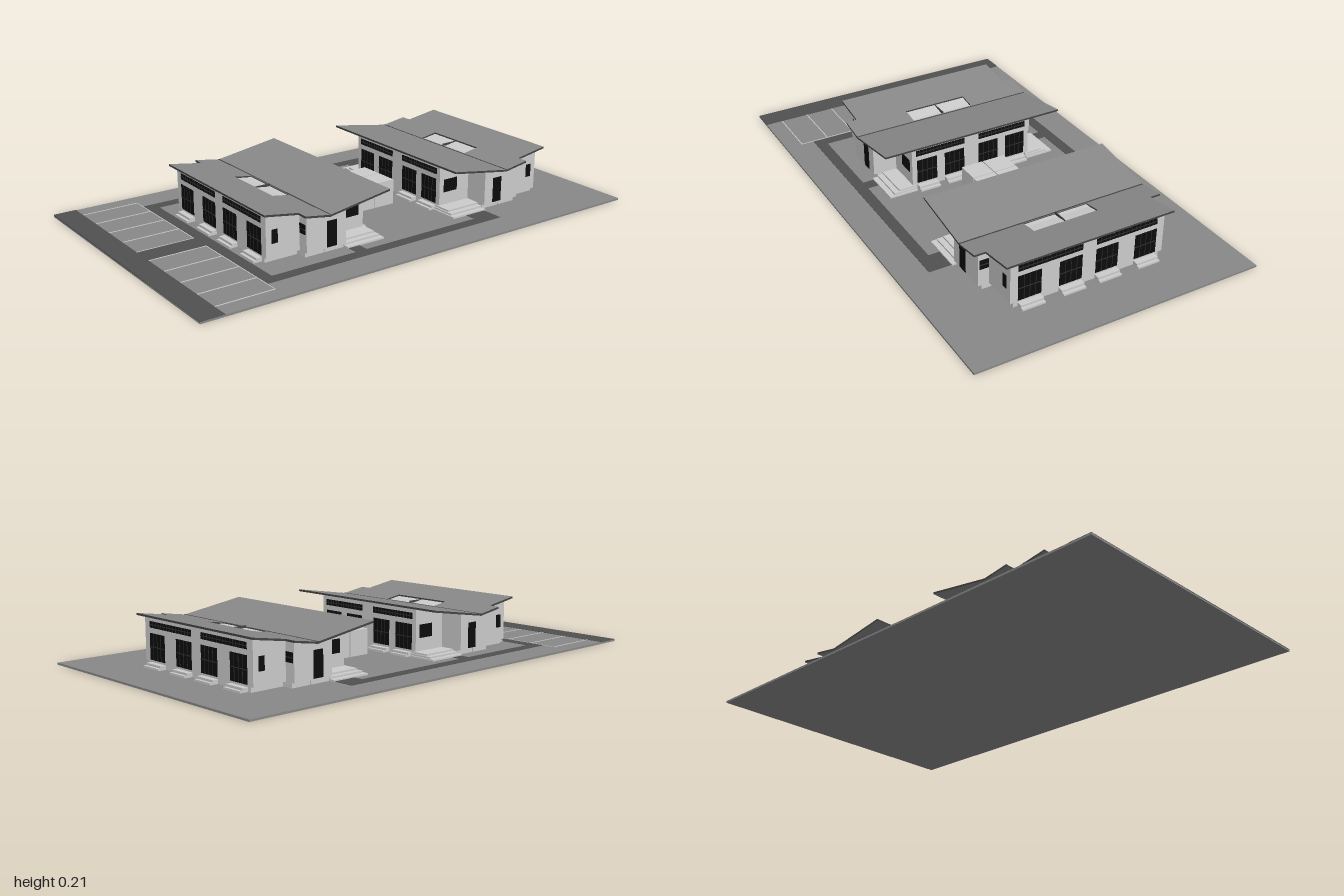
import * as THREE from 'three';

const mat = (color) => new THREE.MeshStandardMaterial({ color, flatShading: true });
const WALL = mat(0xcccccc), LIGHT = mat(0xc0c0c0), GROUND = mat(0x888888), ROAD = mat(0x505050),
  ROOF = mat(0x888888), EDGE = mat(0x444444), GLASS = mat(0x0c0c0c), FRAME = mat(0x303030);

// box given by its lower and upper bounds
function box(parent, name, m, x0, x1, y0, y1, z0, z1) {
  const mesh = new THREE.Mesh(new THREE.BoxGeometry(x1 - x0, y1 - y0, z1 - z0), m);
  mesh.position.set((x0 + x1) / 2, (y0 + y1) / 2, (z0 + z1) / 2);
  mesh.name = name;
  parent.add(mesh);
  return mesh;
}

// butterfly roof: both halves rise away from the valley
const VALLEY = 0.34;
const roofY = (z) => 0.17 + Math.abs(z - VALLEY) * 0.158;

// wall block whose top follows the roof slope
function wallBlock(parent, z0, z1, half) {
  const g = new THREE.BoxGeometry(half * 2, 1, z1 - z0);
  g.translate(0, 0, (z0 + z1) / 2);
  const p = g.attributes.position;
  for (let i = 0; i < p.count; i++) p.setY(i, p.getY(i) < 0 ? 0.028 : roofY(p.getZ(i)) - 0.006);
  g.computeVertexNormals();
  const mesh = new THREE.Mesh(g, WALL);
  mesh.name = 'walls';
  parent.add(mesh);
}

function roofHalf(parent, name, outline, hole) {
  const shape = new THREE.Shape(outline.map(([x, z]) => new THREE.Vector2(x, z)));
  if (hole) shape.holes.push(new THREE.Path(hole.map(([x, z]) => new THREE.Vector2(x, z))));
  const g = new THREE.ExtrudeGeometry(shape, { depth: 0.008, bevelEnabled: false });
  g.rotateX(Math.PI / 2);
  const p = g.attributes.position;
  for (let i = 0; i < p.count; i++) p.setY(i, p.getY(i) + roofY(p.getZ(i)));
  g.computeVertexNormals();
  const mesh = new THREE.Mesh(g, [ROOF, EDGE]);
  mesh.name = name;
  parent.add(mesh);
}

// glazed opening on a facade, with thin bars
function glazing(parent, name, x0, x1, y0, y1, z, dir, cols, rows, bar) {
  const span = (d) => [z + Math.min(d * dir, 0), z + Math.max(d * dir, 0)];
  box(parent, name, GLASS, x0, x1, y0, y1, ...span(0.002));
  for (let i = 1; i < cols; i++) {
    const x = x0 + (x1 - x0) * i / cols;
    box(parent, name + 'Bar', bar, x - 0.001, x + 0.001, y0, y1, ...span(0.003));
  }
  for (let i = 1; i < rows; i++) {
    const y = y0 + (y1 - y0) * i / rows;
    box(parent, name + 'Bar', bar, x0, x1, y - 0.0015, y + 0.0015, ...span(0.0035));
  }
}

function building() {
  const b = new THREE.Group();
  const outer = 0.574, inner = 0.096;

  // stepped plan: narrow inner wing, wide middle, narrower outer wing
  const blocks = [[inner, 0.25, 0.274], [0.25, VALLEY, 0.376], [VALLEY, 0.428, 0.376], [0.428, outer, 0.33]];
  for (const [z0, z1, half] of blocks) {
    wallBlock(b, z0, z1, half);
    box(b, 'plinth', LIGHT, -half + 0.015, half - 0.015, 0.008, 0.028, z0 + 0.002, z1 - 0.002);
  }

  // roof halves, with two skylight openings beside the valley
  const W = 0.403, N = 0.357;
  roofHalf(b, 'outerRoof',
    [[-W, VALLEY], [W, VALLEY], [W, 0.45], [N, 0.45], [N, 0.595], [-N, 0.595], [-N, 0.45], [-W, 0.45]],
    [[-0.138, 0.347], [-0.138, 0.42], [0.138, 0.42], [0.138, 0.347]]);
  roofHalf(b, 'innerRoof', [[-W, 0.066], [W, 0.066], [W, VALLEY], [-W, VALLEY]]);
  box(b, 'valleyGutter', EDGE, -W, W, 0.163, 0.171, VALLEY - 0.003, VALLEY + 0.003);
  box(b, 'skylightDivider', EDGE, -0.002, 0.002, 0.163, 0.178, 0.345, 0.42);
  box(b, 'skylight', LIGHT, -0.138, 0.138, 0.16, 0.168, 0.346, 0.42);

  // doors, high windows and entry steps on both long facades
  const facades = [
    { z: outer, dir: 1, doors: [0.078, 0.25], half: 0.048, strip: [0.03, 0.297] },
    { z: inner, dir: -1, doors: [0.08, 0.207], half: 0.045, strip: [0.033, 0.255] },
  ];
  for (const { z, dir, doors, half, strip } of facades) {
    for (const s of [-1, 1]) {
      for (const d of doors) {
        const x = s * d;
        glazing(b, 'door', x - half, x + half, 0.034, 0.138, z, dir, 4, 2, FRAME);
        [0.034, 0.022].forEach((out, i) => {
          const e = z + dir * out;
          box(b, 'entryStep', LIGHT, x - half, x + half, 0.008, 0.016 + i * 0.009,
            Math.min(z - dir * 0.01, e), Math.max(z - dir * 0.01, e));
        });
      }
      const [a, c] = s > 0 ? strip : [-strip[1], -strip[0]];
      glazing(b, 'highWindow', a, c, 0.159, 0.184, z, dir, 14, 2, FRAME);
    }
  }

  for (const s of [-1, 1]) {
    const side = (name, m, x0, x1, ...r) => box(b, name, m, Math.min(s * x0, s * x1), Math.max(s * x0, s * x1), ...r);
    // openings on the end walls
    side('endWindow', GLASS, 0.325, 0.332, 0.082, 0.136, 0.524, 0.55);
    side('endDoor', GLASS, 0.37, 0.378, 0.032, 0.136, 0.294, 0.338);
    side('endWindow', GLASS, 0.27, 0.276, 0.082, 0.136, 0.118, 0.187);
    // narrow window on the shoulder
    side('shoulderWindow', GLASS, 0.333, 0.369, 0.1, 0.138, 0.425, 0.431);
    side('shoulderWindowBar', FRAME, 0.333, 0.369, 0.117, 0.121, 0.425, 0.432);
    // side stairs in the recess
    [0.385, 0.362, 0.338].forEach((x, i) =>
      side('sideStep', LIGHT, 0.26, x, 0.008, 0.015 + i * 0.007, 0.078 + i * 0.006, 0.249));
  }
  return b;
}

export function createModel() {
  const model = new THREE.Group();

  box(model, 'ground', GROUND, -0.6, 0.6, 0, 0.008, -1, 1);

  // roads and paths laid on the ground
  const roads = [
    [-0.6, 0.6, 0.905, 1], [-0.045, 0.045, 0.66, 0.905], [-0.475, 0.475, 0.615, 0.66],
  ];
  for (const s of [-1, 1]) {
    const strip = (a, c, z0, z1) => roads.push(s > 0 ? [a, c, z0, z1] : [-c, -a, z0, z1]);
    strip(0.428, 0.475, -0.44, 0.615);
    strip(0.36, 0.428, -0.44, -0.345);
    strip(0.36, 0.428, 0.195, 0.243);
  }
  for (const [x0, x1, z0, z1] of roads) box(model, 'road', ROAD, x0, x1, 0.006, 0.0095, z0, z1);

  // parking bays
  for (const s of [-1, 1]) {
    for (let i = 0; i < 5; i++) {
      const x = s * (0.048 + i * 0.12);
      box(model, 'parkingLine', LIGHT, x - 0.002, x + 0.002, 0.006, 0.0095, 0.665, 0.905);
    }
    const xc = s * 0.288;
    box(model, 'parkingEndLine', LIGHT, xc - 0.24, xc + 0.24, 0.006, 0.0095, 0.664, 0.667);
  }

  // the two facing buildings
  const front = building();
  front.name = 'frontBuilding';
  const back = building();
  back.name = 'backBuilding';
  back.rotation.y = Math.PI;
  back.position.z = -0.197;
  front.position.x = back.position.x = -0.003;
  model.add(front, back);

  // four blocks in the courtyard
  for (const [x0, x1] of [[-0.101, -0.003], [0.001, 0.095]]) {
    for (const [z0, z1] of [[-0.194, -0.1], [-0.096, -0.001]]) {
      box(model, 'courtyardBlock', WALL, x0, x1, 0.004, 0.113, z0, z1);
    }
  }
  return model;
}
